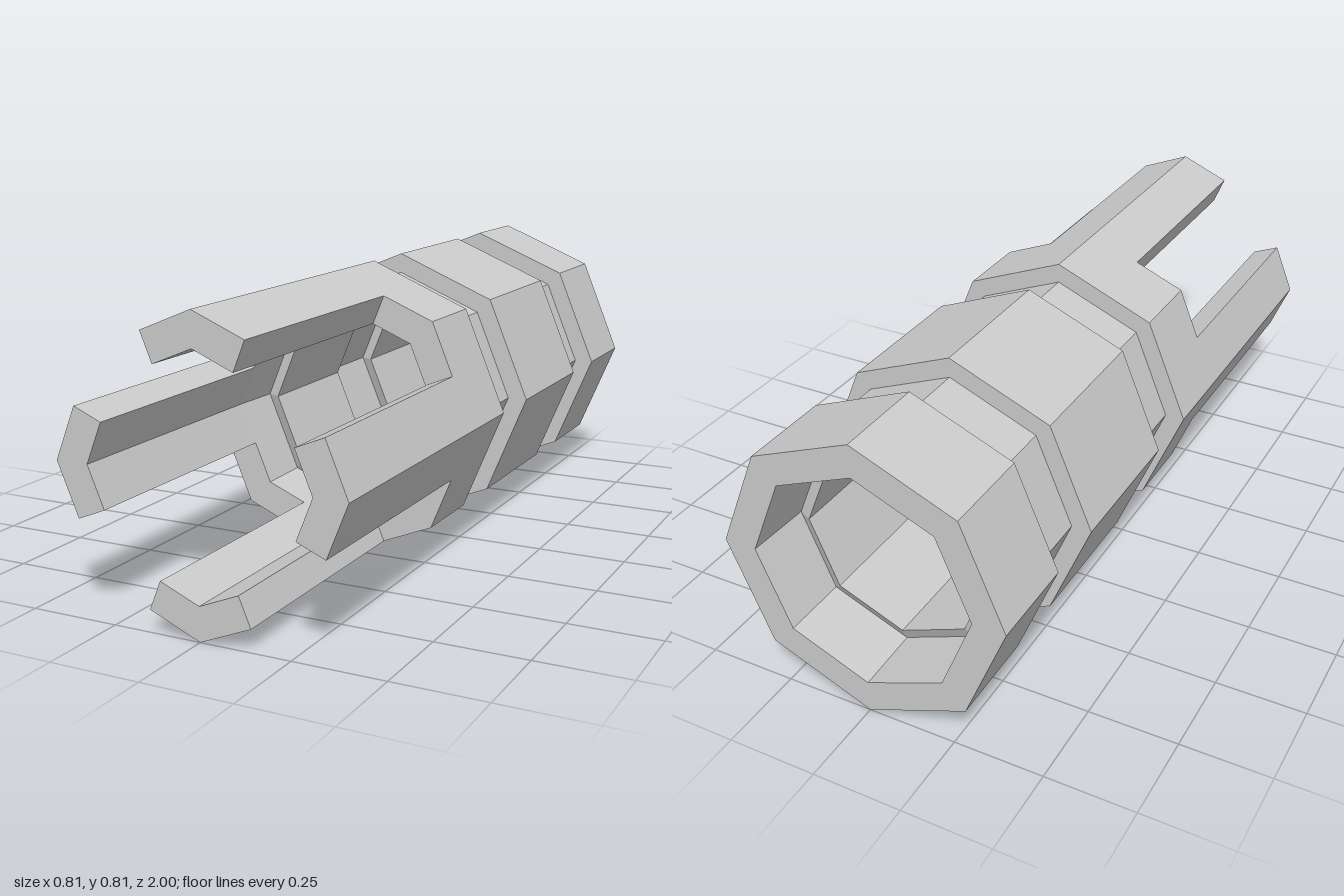
import * as THREE from 'three';

const R = 0.405;        // outer radius of the octagon
const BORE = 0.313;     // bore radius at the open ends
const GROOVE = 0.349;   // outer radius in the grooves
const LIP = 0.268;      // bore radius under the grooves
const WAIST = 0.306;    // bore radius beside the lips
const SLOT = 0.29;      // where the slots end and the prongs begin

export function createModel() {
  const model = new THREE.Group();
  const material = new THREE.MeshStandardMaterial({ color: 0xcccccc, flatShading: true });

  // Octagonal sleeve: closed wall profile [radius, z], outside first, then the bore
  const grooves = [[-0.735, -0.55], [-0.12, 0.06]];
  const outer = [[R, -1]];
  const inner = [[BORE, -1]];
  for (const [a, b] of grooves) {
    outer.push([R, a], [GROOVE, a], [GROOVE, b], [R, b]);
    // the inner lip slightly overhangs the wall on both sides
    inner.push([WAIST, a - 0.08], [LIP, a - 0.098], [LIP, b + 0.098], [WAIST, b + 0.08]);
  }
  outer.push([R, SLOT]);
  inner.push([BORE, SLOT]);
  const profile = [...outer, ...inner.reverse(), outer[0]].map(([r, z]) => new THREE.Vector2(r, z));
  const sleeveGeometry = new THREE.LatheGeometry(profile, 8);
  sleeveGeometry.rotateX(Math.PI / 2);
  const sleeve = new THREE.Mesh(sleeveGeometry, material);
  sleeve.name = 'sleeve';
  model.add(sleeve);

  // Prongs: a corner of the octagon cut at the middle of the faces on either side
  const half = Math.PI / 8;
  const polar = (r, a) => new THREE.Vector2(r * Math.sin(a), r * Math.cos(a));
  const mid = Math.cos(half);
  const section = new THREE.Shape([
    polar(R * mid, -half), polar(R, 0), polar(R * mid, half),
    polar(BORE * mid, half), polar(BORE, 0), polar(BORE * mid, -half),
  ]);
  const prongGeometry = new THREE.ExtrudeGeometry(section, { depth: 1 - SLOT, bevelEnabled: false });
  ['topProng', 'rightProng', 'bottomProng', 'leftProng'].forEach((name, i) => {
    const prong = new THREE.Mesh(prongGeometry, material);
    prong.name = name;
    prong.position.z = SLOT;
    prong.rotation.z = i * Math.PI / 2;
    model.add(prong);
  });

  // Rest the lowest corner on the ground
  model.children.forEach((part) => { part.position.y = R; });
  return model;
}
